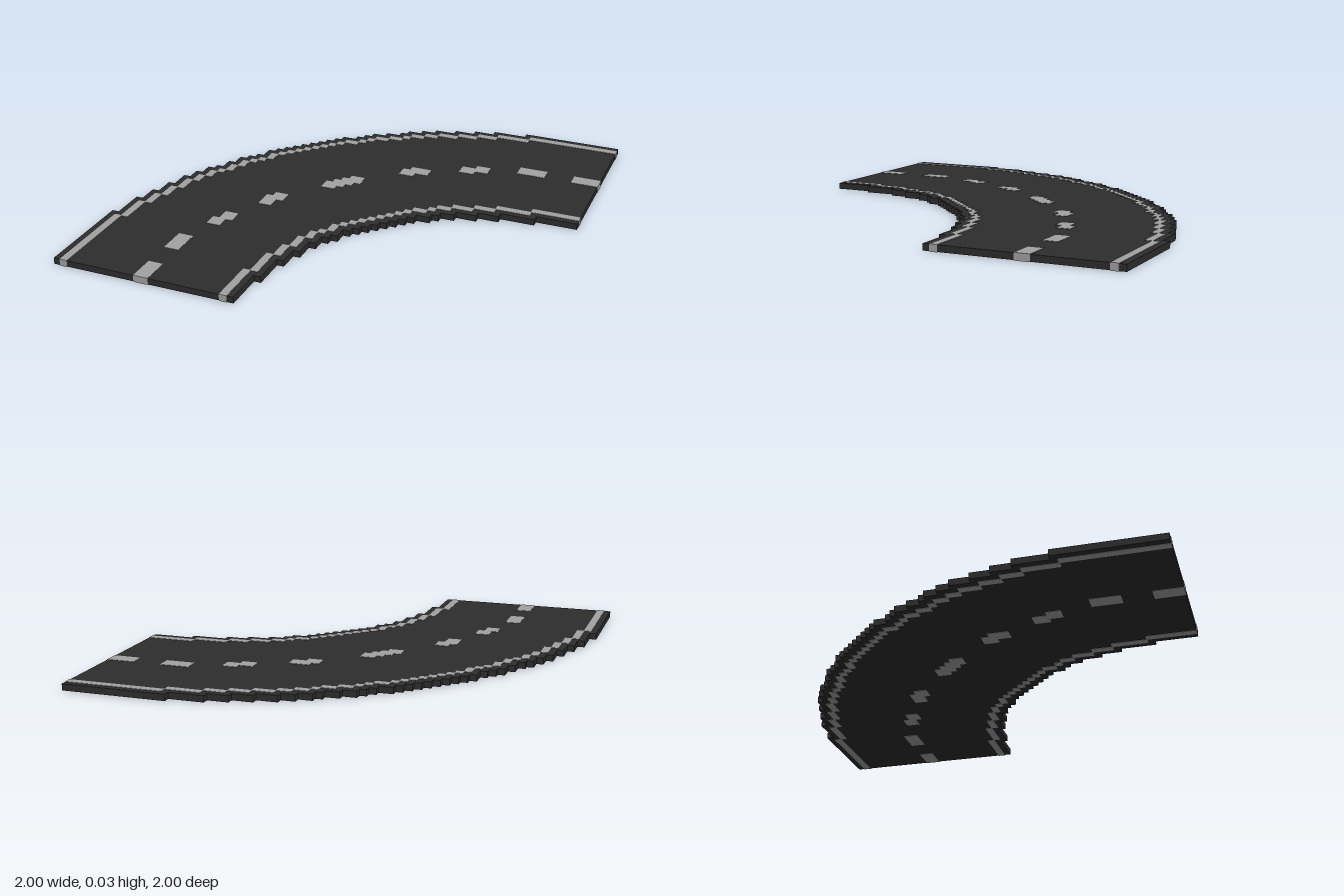
import * as THREE from 'three';
import { mergeGeometries } from 'three/addons/utils/BufferGeometryUtils.js';

const N = 63;            // grid cells along each side
const CELL = 2 / N;
const HEIGHT = 0.032;
const SKIN = 0.0015;     // how far the paint stands proud of the asphalt

const toUnits = (cell) => cell * CELL - 1;

// Distance of a cell's centre from the centre of a bend, straight beyond it
function bendDistance(i, j, c) {
  return Math.hypot(Math.max(0, c - i - 0.5), Math.max(0, c - j - 0.5));
}

// Cells covered by the road, and those at least one cell in from its edge
const isRoad = (i, j) => bendDistance(i, j, 57.5) <= 57.8 && bendDistance(i, j, 60.4) > 33.05;

function isInner(i, j) {
  for (let a = -1; a <= 1; a++) {
    for (let b = -1; b <= 1; b++) if (!isRoad(i + a, j + b)) return false;
  }
  return true;
}

const isLine = (i, j) => isInner(i, j) &&
  !(isInner(i + 1, j) && isInner(i - 1, j) && isInner(i, j + 1) && isInner(i, j - 1));

// Full-height painted block, kept inside the tile
function block(x0, z0, x1, z1) {
  const clamp = (v) => Math.min(1, Math.max(-1, v));
  [x0, z0, x1, z1] = [x0, z0, x1, z1].map(clamp);
  const g = new THREE.BoxGeometry(x1 - x0, HEIGHT, z1 - z0);
  g.translate((x0 + x1) / 2, HEIGHT / 2, (z0 + z1) / 2);
  return g;
}

// Stepped slab traced from the first and last road cell of every row
function asphaltGeometry() {
  const left = [];
  const right = [];
  for (let j = 0; j < N; j++) {
    let start = 0;
    while (!isRoad(start, j)) start++;
    let end = start;
    while (end < N && isRoad(end, j)) end++;
    left.push([start, j], [start, j + 1]);
    right.push([end, j], [end, j + 1]);
  }
  const points = [...left, ...right.reverse()]
    .filter((p, k, all) => k === 0 || p[0] !== all[k - 1][0] || p[1] !== all[k - 1][1])
    .map(([i, j]) => new THREE.Vector2(
      Math.min(toUnits(i), 1 - SKIN), Math.min(toUnits(j), 1 - SKIN)));
  const g = new THREE.ExtrudeGeometry(new THREE.Shape(points), {
    depth: HEIGHT - 2 * SKIN, bevelEnabled: false,
  });
  g.rotateX(Math.PI / 2);
  g.translate(0, HEIGHT - SKIN, 0);
  return g;
}

// Edge line as row runs of cells, slightly grown so that corners join
function lineGeometry(outer) {
  const grow = 0.002;
  const wanted = (i, j) => isLine(i, j) && (bendDistance(i, j, 58) > 44) === outer;
  const parts = [];
  for (let j = 0; j < N; j++) {
    for (let i = 0; i < N; i++) {
      if (!wanted(i, j)) continue;
      const start = i;
      while (i < N && wanted(i, j)) i++;
      parts.push(block(toUnits(start) - grow, toUnits(j) - grow,
        toUnits(i) + grow, toUnits(j + 1) + grow));
    }
  }
  return mergeGeometries(parts);
}

export function createModel() {
  const model = new THREE.Group();
  model.name = 'roadBend';

  const asphalt = new THREE.MeshStandardMaterial({ color: 0x2d2d2d });
  asphalt.name = 'asphalt';
  const paint = new THREE.MeshStandardMaterial({ color: 0xa2a2a2 });
  paint.name = 'roadPaint';

  const add = (name, geometry, material) => {
    const mesh = new THREE.Mesh(geometry, material);
    mesh.name = name;
    model.add(mesh);
  };

  add('roadSlab', asphaltGeometry(), asphalt);
  add('outerLine', lineGeometry(true), paint);
  add('innerLine', lineGeometry(false), paint);

  // Centre dashes of one half: x0, z0, x1, z1 of each block
  const dashes = [
    [[0.87, -0.61, 1, -0.54]],
    [[0.605, -0.61, 0.74, -0.54]],
    [[0.34, -0.515, 0.412, -0.45], [0.405, -0.545, 0.473, -0.48]],
    [[0.08, -0.385, 0.15, -0.32], [0.115, -0.415, 0.212, -0.352]],
  ];
  dashes.forEach((rects, k) => {
    add(`dashBack${k + 1}`, mergeGeometries(rects.map((r) => block(...r))), paint);
    // mirrored across the diagonal
    add(`dashFront${k + 1}`, mergeGeometries(
      rects.map(([x0, z0, x1, z1]) => block(z0, x0, z1, x1))), paint);
  });

  // Stepped dash in the middle of the bend
  const steps = [0, 1, 2, 3].map((k) => {
    const x = -0.215 + 0.031 * k;
    const z = -0.122 - 0.031 * k;
    return block(x, z, x + 0.068, z + 0.068);
  });
  add('dashMiddle', mergeGeometries(steps), paint);

  return model;
}
